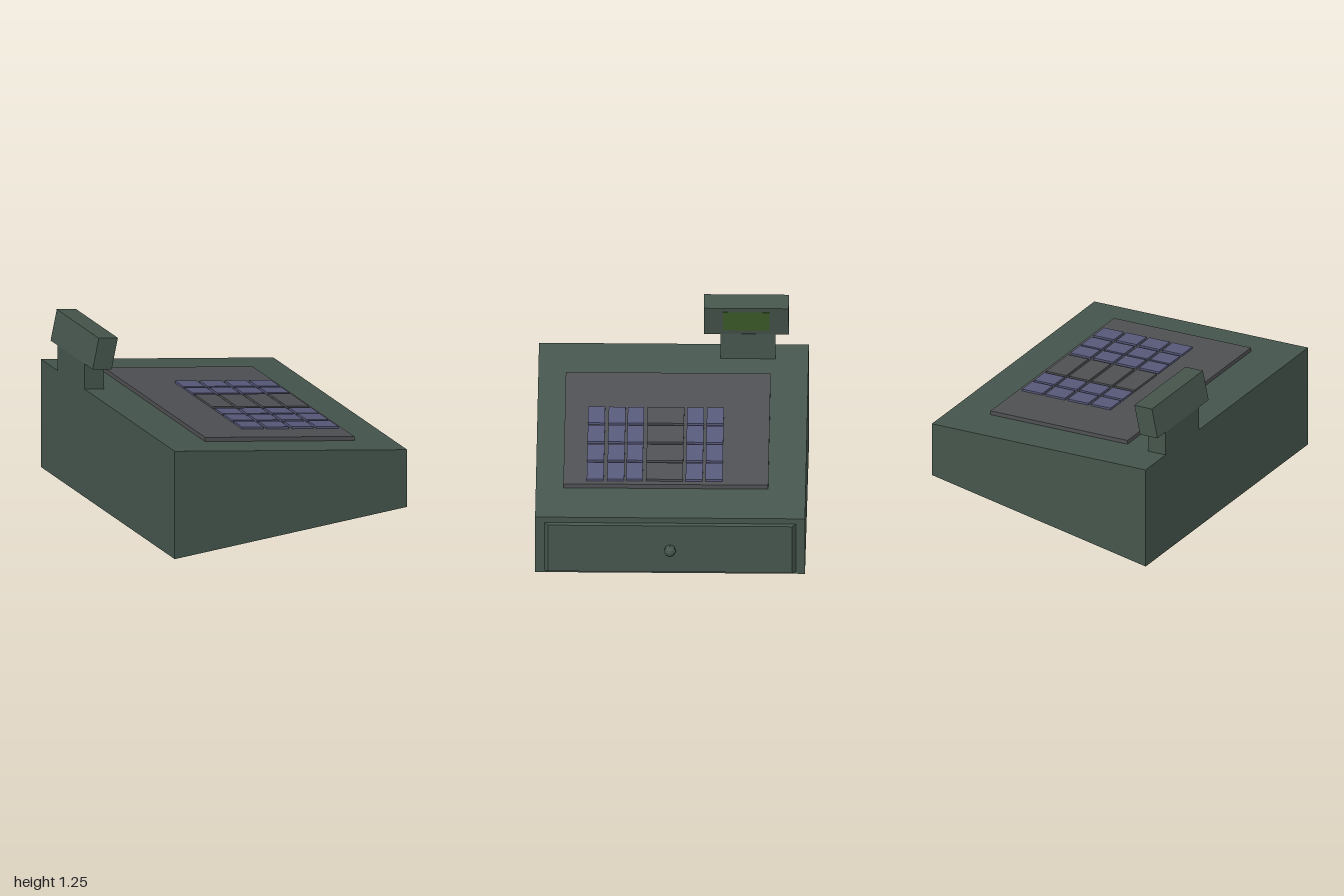
import * as THREE from 'three';

const flat = (name, color) => {
  const m = new THREE.MeshStandardMaterial({ color, flatShading: true });
  m.name = name;
  return m;
};

export function createModel() {
  const group = new THREE.Group();
  const green = flat('casing green', 0x46564d);
  const grey = flat('panel grey', 0x505154);
  const violet = flat('key violet', 0x585a7b);
  const lime = flat('screen green', 0x40602a);

  const add = (name, geometry, material, parent = group) => {
    const mesh = new THREE.Mesh(geometry, material);
    mesh.name = name;
    parent.add(mesh);
    return mesh;
  };

  // Side outline in x and y, extruded from z0 to z1
  const prism = (points, z0, z1) => {
    const shape = new THREE.Shape(points.map(([x, y]) => new THREE.Vector2(x, y)));
    return new THREE.ExtrudeGeometry(shape, { depth: z1 - z0, bevelEnabled: false }).translate(0, 0, z0);
  };

  // Height of the sloping top, and slabs lying on it
  const top = (x) => 0.83 - (x + 1) * 0.2058;
  const slab = (x0, x1, z0, z1, low, high) => prism([
    [x0, top(x0) + low], [x1, top(x1) + low], [x1, top(x1) + high], [x0, top(x0) + high],
  ], z0, z1);

  // Wedge-shaped casing and key panel
  add('casing', prism([[-1, 0], [0.895, 0], [0.895, 0.44], [-1, 0.83]], -0.955, 0.955), green);
  add('keyPanel', slab(-0.64, 0.575, -0.69, 0.76, -0.005, 0.032), grey);

  // Keys: the wide middle row is grey
  const keys = new THREE.Group();
  keys.name = 'keys';
  group.add(keys);
  const columns = [[-0.245, -0.07], [-0.045, 0.135], [0.16, 0.335], [0.36, 0.54]];
  const rows = [[-0.365, -0.245], [-0.225, -0.105], [-0.085, 0.175], [0.2, 0.315], [0.33, 0.45], [0.475, 0.595]];
  rows.forEach(([z0, z1], r) => columns.forEach(([x0, x1]) => {
    add(r === 2 ? 'wideKey' : 'key', slab(x0, x1, z0, z1, 0.03, 0.048), r === 2 ? grey : violet, keys);
  }));

  // Display: post, tilted head and screen
  add('displayPost', prism([[-1, 0.8], [-0.843, 0.76], [-0.843, 0.997], [-1, 1.025]], -0.72, -0.33), green);
  add('displayHead', prism([[-1, 1.025], [-0.845, 0.993], [-0.795, 1.225], [-0.95, 1.255]], -0.815, -0.215), green);
  const face = (y) => -0.845 + (y - 0.993) * 0.2155;
  add('screen', prism([
    [face(1.03) - 0.002, 1.03], [face(1.03) + 0.004, 1.03],
    [face(1.19) + 0.004, 1.19], [face(1.19) - 0.002, 1.19],
  ], -0.68, -0.35), lime);

  // Drawer front with chamfered edges
  const drawer = new THREE.BoxGeometry(0.03, 0.38, 1.78);
  const p = drawer.attributes.position;
  for (let i = 0; i < p.count; i++) {
    if (p.getX(i) > 0) {
      p.setY(i, p.getY(i) - Math.sign(p.getY(i)) * 0.006);
      p.setZ(i, p.getZ(i) - Math.sign(p.getZ(i)) * 0.027);
    }
  }
  drawer.computeVertexNormals();
  add('drawer', drawer, green).position.set(0.91, 0.208, 0);

  // Faceted knob
  add('drawerKnob', new THREE.SphereGeometry(0.044, 8, 6).rotateZ(Math.PI / 2), green).position.set(0.956, 0.208, 0);

  return group;
}
